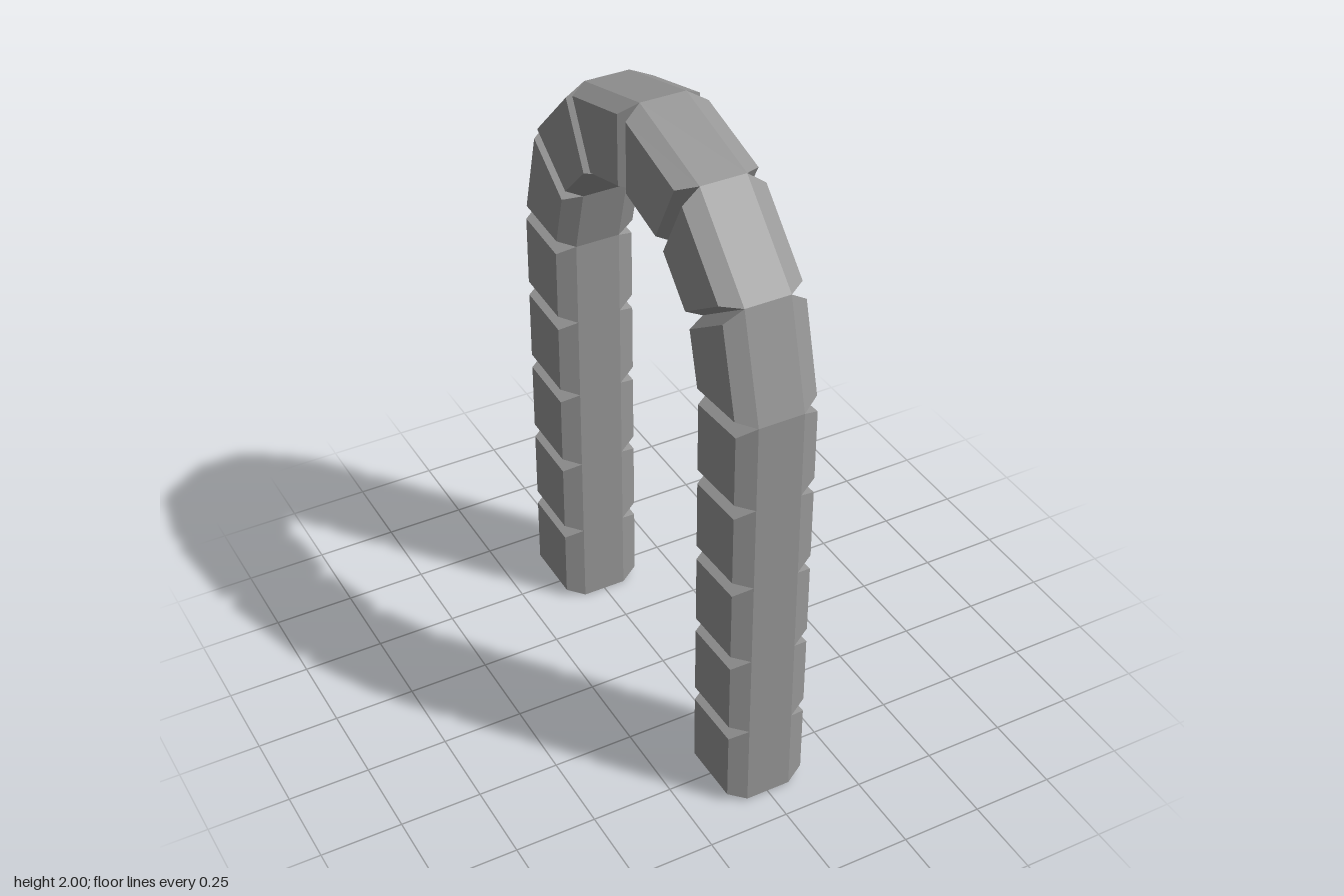
import * as THREE from 'three';

const HALF_CORE = 0.07;   // half width of the outer and inner faces
const HALF_WIDTH = 0.125; // half width across the raised side faces
const BEVEL = 0.024;

// Moves every edge of a counter-clockwise polygon inwards and finds the new corners
function inset(poly, d) {
  const n = poly.length;
  const edges = poly.map((p, i) => {
    const dir = poly[(i + 1) % n].clone().sub(p).normalize();
    return { dir, start: new THREE.Vector2(p.x - dir.y * d, p.y + dir.x * d) };
  });
  return edges.map((e, i) => {
    const prev = edges[(i + n - 1) % n];
    const t = e.start.clone().sub(prev.start).cross(e.dir) / prev.dir.cross(e.dir);
    return prev.start.clone().addScaledVector(prev.dir, t);
  });
}

// One stone: four rings across x, the two end rings smaller to form the bevels
function stoneGeometry(quad) {
  const small = inset(quad, BEVEL);
  const ring = (poly, x) => poly.map((p) => [x, p.y, -p.x]);
  const rings = [
    ring(small, -HALF_WIDTH), ring(quad, -HALF_CORE),
    ring(quad, HALF_CORE), ring(small, HALF_WIDTH),
  ];
  const pos = [];
  const face = (a, b, c, d) => pos.push(...a, ...b, ...c, ...a, ...c, ...d);
  for (let k = 0; k < 3; k++) {
    for (let j = 0; j < 4; j++) {
      const m = (j + 1) % 4;
      face(rings[k][j], rings[k][m], rings[k + 1][m], rings[k + 1][j]);
    }
  }
  face(...rings[3]);
  face(...[...rings[0]].reverse());
  const geo = new THREE.BufferGeometry();
  geo.setAttribute('position', new THREE.Float32BufferAttribute(pos, 3));
  geo.computeVertexNormals();
  return geo;
}

export function createModel() {
  const group = new THREE.Group();
  group.name = 'stoneArch';
  const material = new THREE.MeshStandardMaterial({ color: 0x979797, flatShading: true });

  // Joints from the foot of the front leg to the crown: [outer, inner], as (-z, y)
  const joints = [];
  for (let i = 0; i < 5; i++) {
    joints.push([new THREE.Vector2(-0.645, 0.004 + 0.27 * i), new THREE.Vector2(-0.4, 0.267 * i)]);
  }
  for (let i = 0; i <= 3; i++) {
    const a = (i * Math.PI) / 6;
    const c = Math.cos(a), s = Math.sin(a);
    joints.push([
      new THREE.Vector2(-0.645 * c, 1.355 + 0.645 * s),
      new THREE.Vector2(-0.4 * c, 1.335 + 0.398 * s),
    ]);
  }
  // Mirror the joints down the back leg
  for (let i = 7; i >= 0; i--) {
    joints.push(joints[i].map((p) => new THREE.Vector2(-p.x, p.y)));
  }

  for (let i = 0; i < joints.length - 1; i++) {
    const [o0, i0] = joints[i];
    const [o1, i1] = joints[i + 1];
    const mesh = new THREE.Mesh(stoneGeometry([o0, i0, i1, o1]), material);
    mesh.name = i < 5 ? `frontLegStone${i + 1}` : i < 11 ? `archStone${i - 4}` : `backLegStone${16 - i}`;
    group.add(mesh);
  }
  return group;
}
